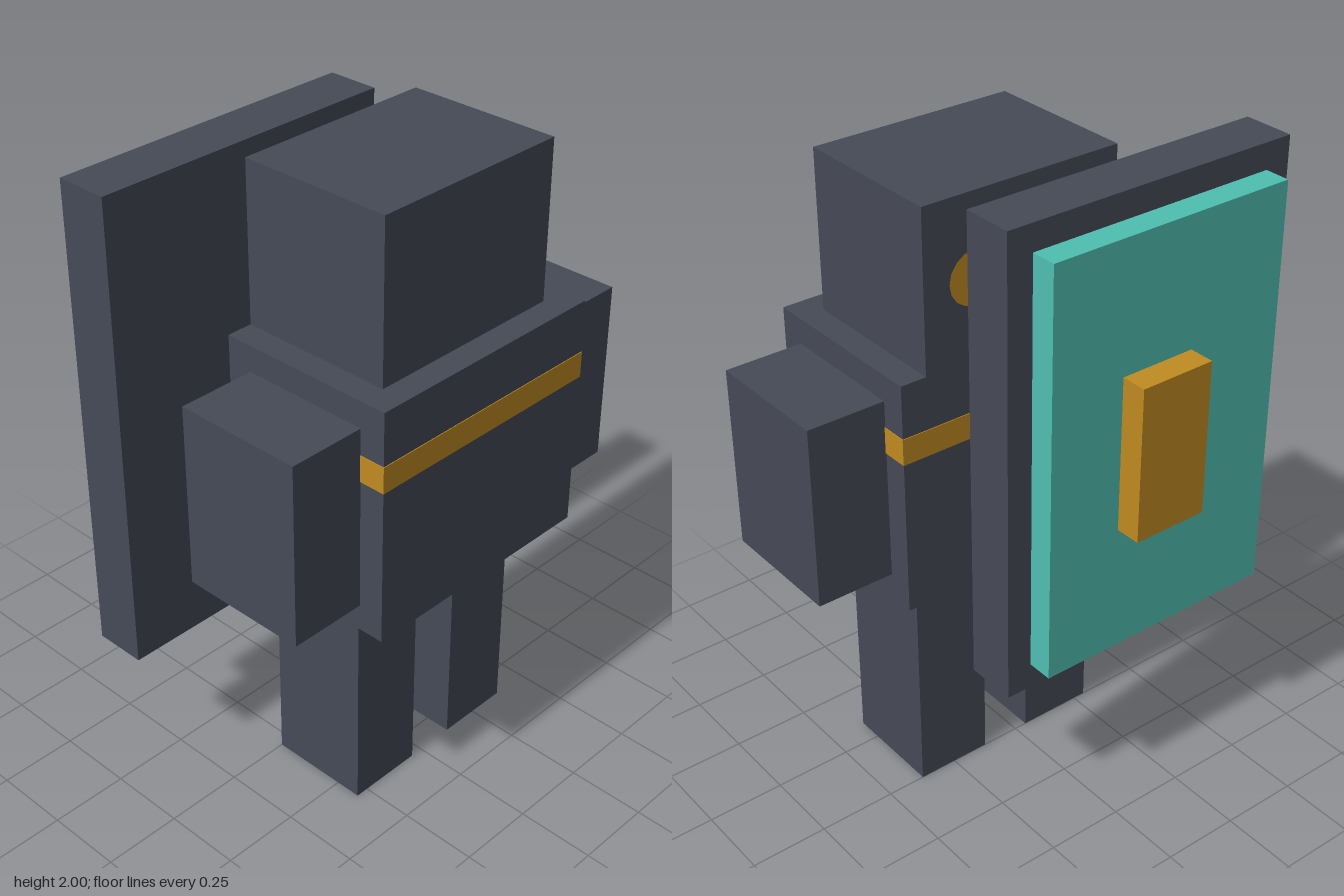
import * as THREE from 'three';

const charcoal = new THREE.MeshStandardMaterial({ color: 0x464a56 });
charcoal.name = 'charcoal';
const gold = new THREE.MeshStandardMaterial({ color: 0xc08b22 });
gold.name = 'gold';
const teal = new THREE.MeshStandardMaterial({ color: 0x4fbfb0 });
teal.name = 'teal';

const U = 1 / 12; // block unit
const MID = 0.5 * U; // x of the body's mirror plane

// Box given by its extents in block units, x measured from the body's mirror plane
function block(name, material, [x0, x1], [y0, y1], [z0, z1]) {
  const mesh = new THREE.Mesh(
    new THREE.BoxGeometry((x1 - x0) * U, (y1 - y0) * U, (z1 - z0) * U), material);
  mesh.position.set((x0 + x1) / 2 * U, (y0 + y1) / 2 * U, (z0 + z1) / 2 * U);
  mesh.name = name;
  return mesh;
}

export function createModel() {
  const model = new THREE.Group();
  model.name = 'shieldBearer';

  // Figure, symmetric about its own middle
  const figure = new THREE.Group();
  figure.name = 'figure';
  figure.position.x = MID;
  figure.add(
    block('head', charcoal, [-4, 4], [18, 24], [-1, 5]),
    block('torso', charcoal, [-5, 5], [9, 18], [-1, 6]),
  );

  // Painted band around the torso
  const e = 0.03;
  figure.add(block('chestBand', gold, [-5 - e, 5 + e], [15, 16], [-1 - e, 6 + e]));

  // Limbs, and round eyes on the face behind the shield
  for (const [side, s] of [['left', 1], ['right', -1]]) {
    const span = (a, b) => (s > 0 ? [a, b] : [-b, -a]);
    figure.add(
      block(side + 'Arm', charcoal, span(5, 8), [10, 17], [0, 5]),
      block(side + 'Leg', charcoal, span(1, 4), [0, 9], [0, 4]),
    );
    const eye = new THREE.Mesh(new THREE.CircleGeometry(U, 16), gold);
    eye.rotation.y = Math.PI;
    eye.position.set(s * 2 * U, 21 * U, -U - 0.003);
    eye.name = side + 'Eye';
    figure.add(eye);
  }
  model.add(figure);

  // Layered shield, offset to the right
  const shield = new THREE.Group();
  shield.name = 'shield';
  shield.position.x = -2.5 * U;
  shield.add(
    block('shieldSlab', charcoal, [-6, 6], [6, 24], [-4, -2]),
    block('shieldPanel', teal, [-5, 5], [7, 23], [-5, -4]),
    block('shieldBoss', gold, [-1, 2], [12, 18], [-6, -5]),
  );
  shield.children[2].position.x = 0.5 * U;
  model.add(shield);

  return model;
}
